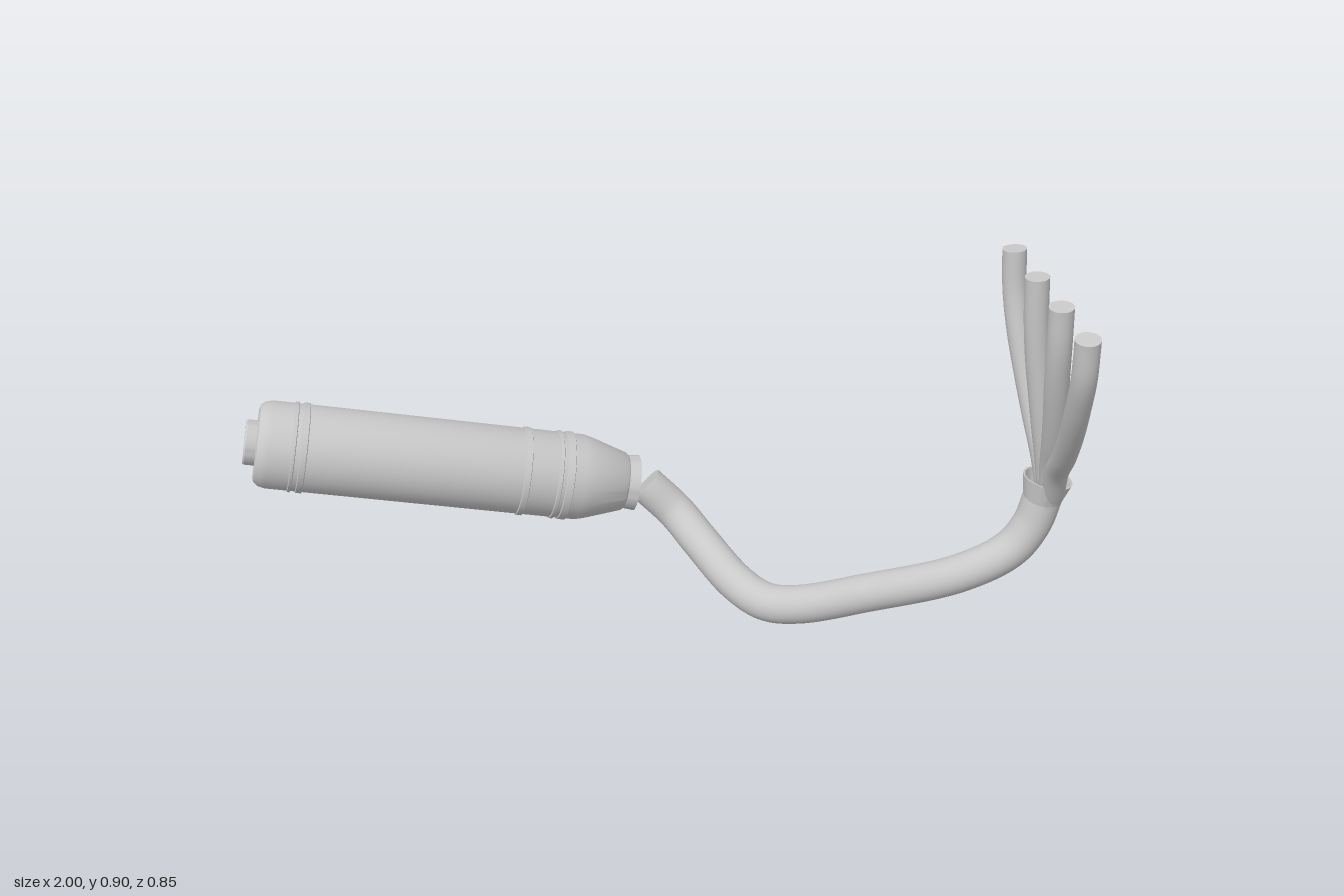
import * as THREE from 'three';
import { toCreasedNormals } from 'three/addons/utils/BufferGeometryUtils.js';

const steel = new THREE.MeshStandardMaterial({ color: 0xc8c8c8, side: THREE.DoubleSide });
steel.name = 'brushed steel';
const UP = new THREE.Vector3(0, 1, 0);

function addMesh(parent, name, geometry) {
  const mesh = new THREE.Mesh(geometry, steel);
  mesh.name = name;
  parent.add(mesh);
  return mesh;
}

// Turned part with sharp edges kept, from [radius, height] pairs
function turned(parent, name, profile) {
  const points = profile.map(([r, y]) => new THREE.Vector2(r, y));
  return addMesh(parent, name, toCreasedNormals(new THREE.LatheGeometry(points, 48), 0.5));
}

// Bent pipe with flat closed ends
function pipe(parent, name, path, radius, segments) {
  const group = new THREE.Group();
  group.name = name;
  parent.add(group);
  const curve = new THREE.CatmullRomCurve3(path.map((p) => new THREE.Vector3(...p)));
  addMesh(group, name + 'Tube', new THREE.TubeGeometry(curve, segments, radius, 28));
  for (const t of [0, 1]) {
    const cap = addMesh(group, name + 'End', new THREE.CircleGeometry(radius, 28));
    const outward = curve.getTangent(t).multiplyScalar(t ? 1 : -1);
    cap.position.copy(curve.getPoint(t));
    cap.quaternion.setFromUnitVectors(new THREE.Vector3(0, 0, 1), outward);
  }
}

export function createModel() {
  const model = new THREE.Group();
  model.name = 'exhaustSystem';

  // Four header pipes fanning out of the collector: [x, y, share of spread]
  const fan = [
    [0.945, 0.33, 0.08], [0.93, 0.42, 0.22], [0.915, 0.5, 0.43], [0.897, 0.6, 0.65],
    [0.88, 0.7, 0.83], [0.868, 0.8, 0.96], [0.861, 0.9, 1],
  ];
  [0.336, 0.166, -0.002, -0.17].forEach((spread, i) => {
    pipe(model, 'headerPipe' + (i + 1), fan.map(([x, y, s]) => [x, y, 0.065 + spread * s]), 0.029, 48);
  });

  // Flared collector cup
  const collector = turned(model, 'collector', [
    [0, 0.012], [0.046, 0], [0.061, 0.06], [0.056, 0.06], [0.044, 0.014],
  ]);
  collector.position.set(0.929, 0.303, 0.065);
  collector.quaternion.setFromUnitVectors(UP, new THREE.Vector3(0.17, 0.985, 0).normalize());

  // Main pipe from collector to silencer
  pipe(model, 'mainPipe', [
    [0.933, 0.318, 0.064], [0.91, 0.235, 0.064], [0.86, 0.165, 0.064], [0.735, 0.107, 0.064],
    [0.5, 0.073, 0.064], [0.33, 0.054, 0.06], [0.255, 0.05, 0.03], [0.195, 0.064, -0.045],
    [0.125, 0.108, -0.19], [0.075, 0.155, -0.265], [0.002, 0.225, -0.297],
  ], 0.048, 120);

  // Silencer, built along its own axis from the inlet to the outlet
  const silencer = new THREE.Group();
  silencer.name = 'silencer';
  silencer.position.set(-0.024, 0.23, -0.298);
  silencer.quaternion.setFromUnitVectors(UP, new THREE.Vector3(-0.797, 0.16, -0.012).normalize());
  model.add(silencer);

  turned(silencer, 'silencerBody', [
    [0, 0], [0.071, 0], [0.068, 0.028], [0.074, 0.034], [0.103, 0.125], [0.109, 0.15],
    [0.109, 0.925], [0.105, 0.943], [0.096, 0.955], [0.086, 0.958], [0.08, 0.952],
    [0.077, 0.93], [0, 0.93],
  ]);

  // Clamp bands around the body
  [[0.175, 0.022], [0.205, 0.012], [0.285, 0.018], [0.835, 0.018], [0.863, 0.01]].forEach(([y, w], i) => {
    turned(silencer, 'clampBand' + (i + 1), [
      [0.108, y], [0.1125, y + 0.002], [0.1125, y + w - 0.002], [0.108, y + w],
    ]);
  });

  // Hollow tail pipe
  turned(silencer, 'tailPipe', [
    [0.056, 0.92], [0.056, 0.982], [0.053, 0.986], [0.046, 0.986], [0.044, 0.982], [0.044, 0.935], [0, 0.935],
  ]);

  return model;
}
